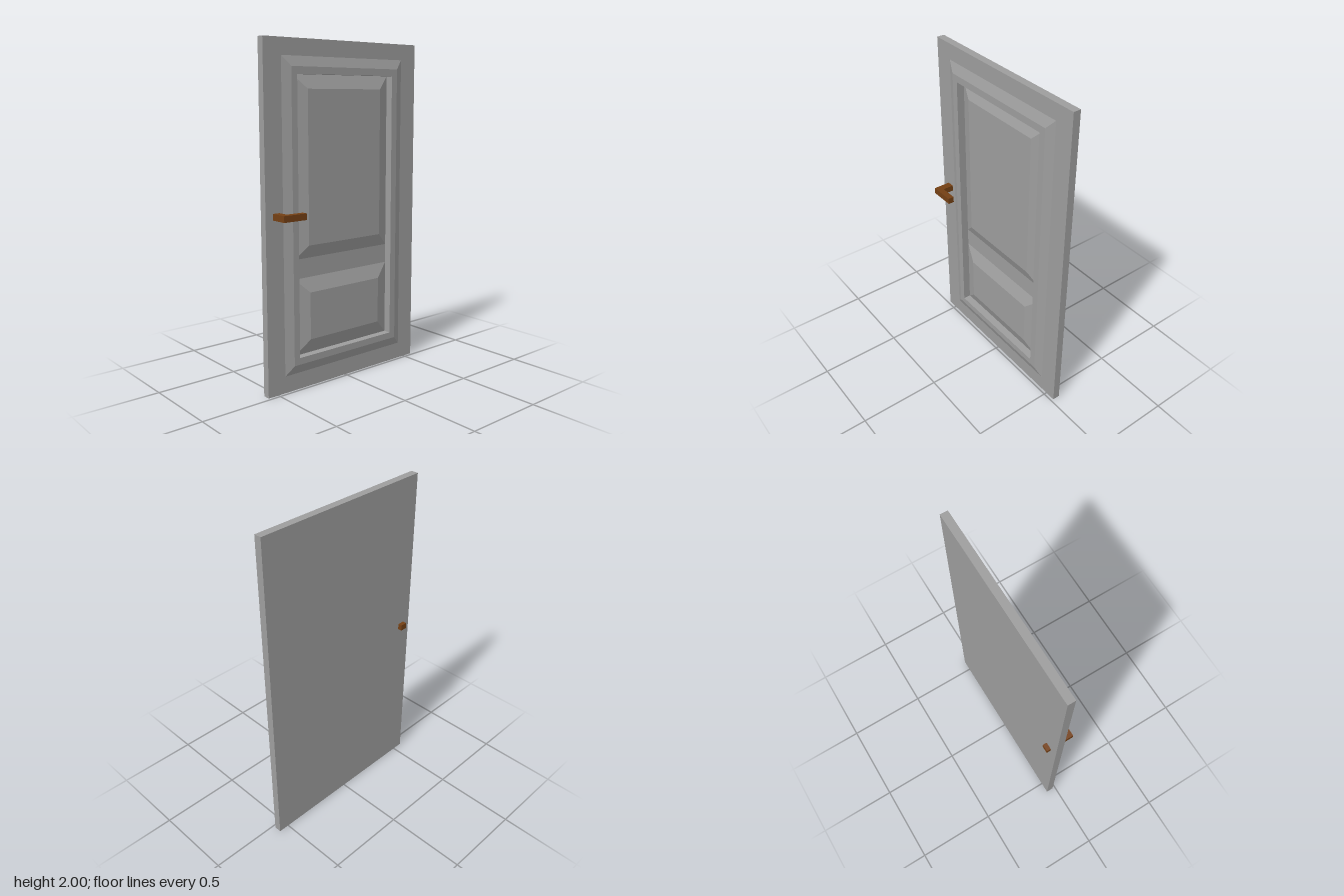
import * as THREE from 'three';

const grey = new THREE.MeshStandardMaterial({ color: 0x9d9d9d, flatShading: true });
const brown = new THREE.MeshStandardMaterial({ color: 0x744014, flatShading: true });

// Joins a run of rectangles [x0, x1, y0, y1, z] and caps the last (and optionally the first).
function loftRects(rects, capBack) {
  const loops = rects.map(([x0, x1, y0, y1, z]) => [[x0, y0, z], [x1, y0, z], [x1, y1, z], [x0, y1, z]]);
  const pos = [];
  const quad = (a, b, c, d) => pos.push(...a, ...b, ...c, ...a, ...c, ...d);
  for (let i = 0; i + 1 < loops.length; i++) {
    for (let k = 0; k < 4; k++) {
      const n = (k + 1) % 4;
      quad(loops[i][k], loops[i][n], loops[i + 1][n], loops[i + 1][k]);
    }
  }
  quad(...loops[loops.length - 1]);
  if (capBack) quad(...[...loops[0]].reverse());
  const geo = new THREE.BufferGeometry();
  geo.setAttribute('position', new THREE.Float32BufferAttribute(pos, 3));
  geo.computeVertexNormals();
  return geo;
}

export function createModel() {
  const door = new THREE.Group();
  door.name = 'door';
  const add = (name, geo, mat) => {
    const mesh = new THREE.Mesh(geo, mat);
    mesh.name = name;
    door.add(mesh);
    return mesh;
  };

  const back = -0.063, front = -0.018, floor = -0.045, raised = -0.015, moulding = 0.002;

  // Slab with a bevelled raised moulding and a sunken field
  add('doorSlab', loftRects([
    [-0.567, 0.567, 0, 2, back],
    [-0.567, 0.567, 0, 2, front],
    [-0.45, 0.45, 0.1, 1.905, front],
    [-0.397, 0.397, 0.155, 1.848, moulding],
    [-0.358, 0.355, 0.195, 1.807, moulding],
    [-0.358, 0.355, 0.195, 1.807, floor],
  ], true), grey);

  // Raised panels with sloping borders
  const panels = [
    ['upperPanel', 0.765, 1.807, 0.843, 1.728, 0.273],
    ['lowerPanel', 0.195, 0.65, 0.283, 0.565, 0.266],
  ];
  for (const [name, y0, y1, iy0, iy1, ix] of panels) {
    add(name, loftRects([
      [-0.358, 0.355, y0, y1, floor],
      [-ix, ix, iy0, iy1, raised],
    ], false), grey);
  }

  // L-shaped handle: square bar through the door with a lever at the front
  const outline = new THREE.Shape([
    [-0.518, -0.087], [-0.366, -0.087], [-0.366, -0.05],
    [-0.474, -0.05], [-0.474, 0.088], [-0.518, 0.088],
  ].map(([x, y]) => new THREE.Vector2(x, y)));
  const handle = new THREE.ExtrudeGeometry(outline, { depth: 0.037, bevelEnabled: false });
  handle.rotateX(-Math.PI / 2);
  add('handle', handle, brown).position.y = 1.015;

  return door;
}
